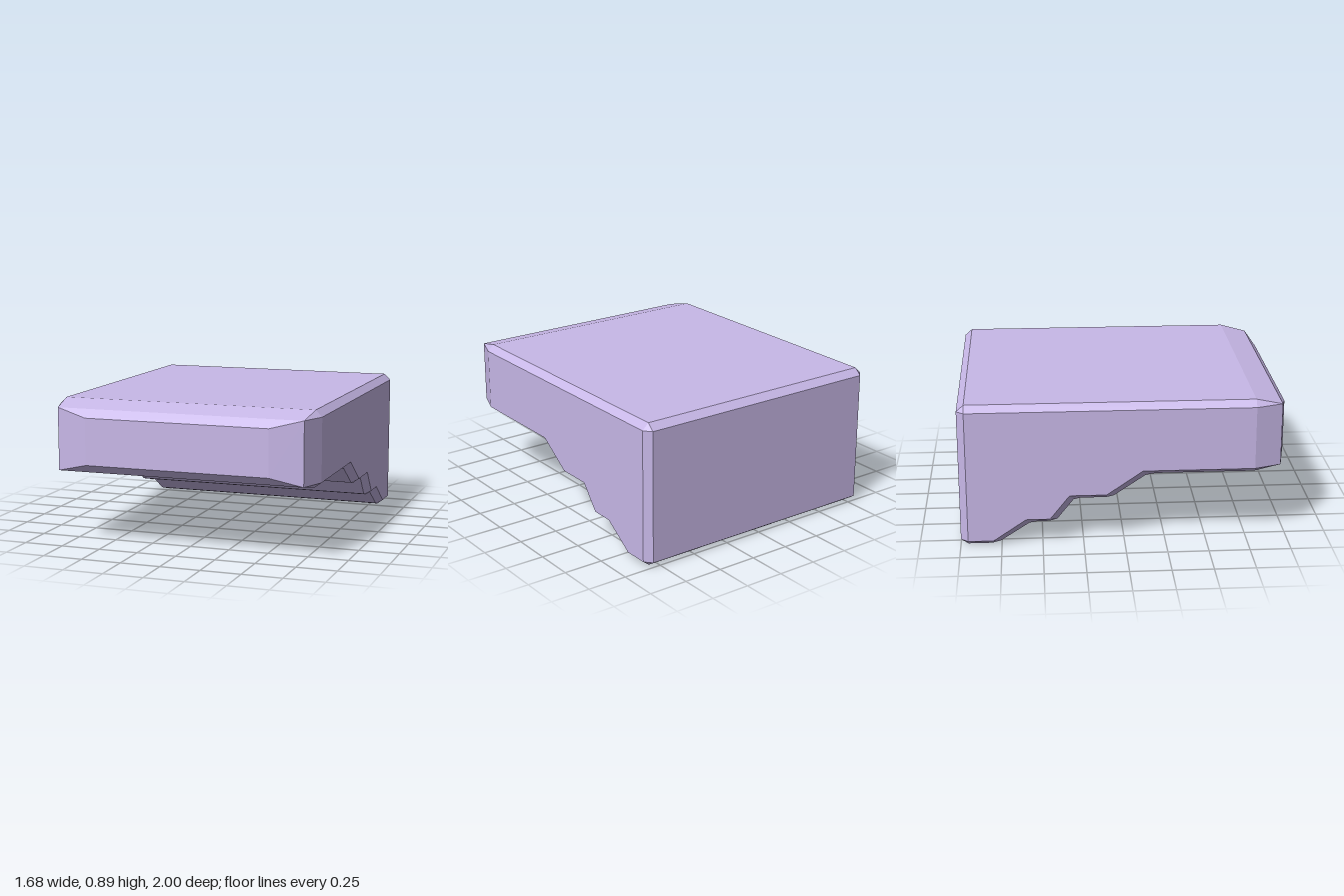
import * as THREE from 'three';

// Each rim point [x, y, z] with the side-face point [x, y, z] its bevel runs to.
// Order: from the top front, down the nose, back along the steps, up the rear.
const S = 0.84, R = 0.8;
const NOSE_TOP = [0.78, 0.855, 0.955], NOSE_LOW = [0.78, 0.465, 0.955];
const rim = (z, y, sideZ, sideY) => ({ inner: [R, y, z], outer: [S, sideY, sideZ] });
const LOOP = [
  rim(0.79, 0.895, 0.79, 0.855),
  { inner: NOSE_TOP, outer: NOSE_TOP },
  { inner: [0.58, 0.805, 1], outer: NOSE_TOP },
  { inner: [0.58, 0.515, 1], outer: NOSE_LOW },
  { inner: NOSE_LOW, outer: NOSE_LOW },
  rim(0.79, 0.435, 0.79, 0.465),
  // stepped underside
  rim(0.19, 0.435, 0.11, 0.465),
  rim(0.13, 0.425, 0.11, 0.465),
  rim(-0.065, 0.295, -0.11, 0.315),
  rim(-0.11, 0.285, -0.11, 0.315),
  rim(-0.27, 0.285, -0.335, 0.315),
  rim(-0.31, 0.275, -0.335, 0.315),
  rim(-0.41, 0.15, -0.455, 0.165),
  rim(-0.46, 0.137, -0.455, 0.165),
  rim(-0.53, 0.137, -0.6, 0.165),
  rim(-0.58, 0.128, -0.6, 0.165),
  rim(-0.755, 0.015, -0.8, 0.03),
  rim(-0.81, 0, -0.8, 0.03),
  // rear
  rim(-0.955, 0, -0.955, 0.03),
  rim(-1, 0.03, -0.955, 0.03),
  rim(-1, 0.855, -0.955, 0.855),
  rim(-0.955, 0.895, -0.955, 0.855),
];

const mirror = ([x, y, z]) => [-x, y, z];

function bevelledBlock() {
  const positions = [];
  const same = (p, q) => p.every((v, i) => v === q[i]);
  const tri = (a, b, c) => {
    if (!same(a, b) && !same(b, c) && !same(a, c)) positions.push(...a, ...b, ...c);
  };
  const quad = (a, b, c, d) => { tri(a, b, c); tri(a, c, d); };

  // bands: left bevel, full-width surface, right bevel
  const row = (p) => [p.outer, p.inner, mirror(p.inner), mirror(p.outer)];
  LOOP.forEach((p, i) => {
    const a = row(p), b = row(LOOP[(i + 1) % LOOP.length]);
    for (let k = 0; k < 3; k++) quad(a[k], a[k + 1], b[k + 1], b[k]);
  });

  // flat side faces and the tapering cheeks in front of them
  const side = LOOP.map((p) => p.outer)
    .filter((p, i, all) => p[0] === S && all.findIndex((q) => same(p, q)) === i);
  const outline = side.map(([, y, z]) => new THREE.Vector2(-z, y));
  const cap = THREE.ShapeUtils.triangulateShape(outline, [])
    .map((face) => face.map((i) => side[i]));
  const top = LOOP[0].outer, low = LOOP[5].outer;
  cap.push([top, NOSE_TOP, NOSE_LOW], [top, NOSE_LOW, low]);
  for (const [a, b, c] of cap) {
    tri(a, b, c);
    tri(mirror(c), mirror(b), mirror(a));
  }

  const geometry = new THREE.BufferGeometry();
  geometry.setAttribute('position', new THREE.Float32BufferAttribute(positions, 3));
  geometry.computeVertexNormals();
  return geometry;
}

export function createModel() {
  const group = new THREE.Group();
  group.name = 'steppedBlock';
  const material = new THREE.MeshStandardMaterial({ color: 0xc8b8e8, flatShading: true });
  const block = new THREE.Mesh(bevelledBlock(), material);
  block.name = 'bevelledBody';
  group.add(block);
  return group;
}
